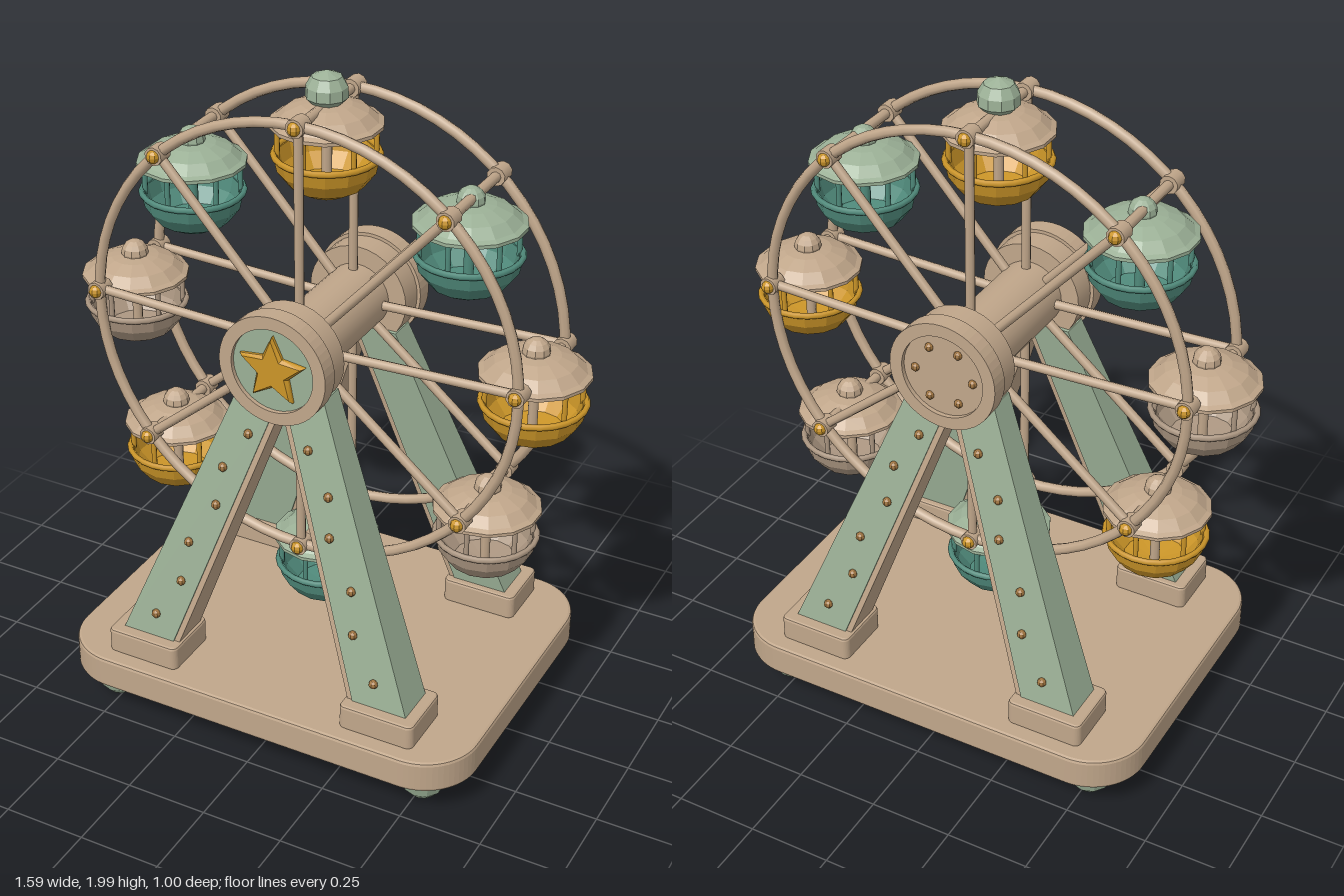
import * as THREE from 'three';

const mat = (name, color) => new THREE.MeshStandardMaterial({ name, color });

export function createModel() {
  const tan = mat('tan', 0xc0a68a), green = mat('sage green', 0x9bb096), teal = mat('teal', 0x508a7b);
  const gold = mat('gold', 0xcb9528), taupe = mat('taupe', 0xab9681), bronze = mat('bronze', 0x9f7440);
  const model = new THREE.Group();
  model.name = 'ferrisWheel';

  const add = (parent, name, geo, material, x = 0, y = 0, z = 0) => {
    const mesh = new THREE.Mesh(geo, material);
    mesh.name = name;
    mesh.position.set(x, y, z);
    parent.add(mesh);
    return mesh;
  };
  // faceted copy of a geometry
  const facet = (geo) => {
    const g = geo.index ? geo.toNonIndexed() : geo;
    g.computeVertexNormals();
    return g;
  };
  const lathe = (pts, segments) => facet(new THREE.LatheGeometry(pts.map(p => new THREE.Vector2(...p)), segments));
  const ball = (r, w = 8, h = 6) => facet(new THREE.SphereGeometry(r, w, h));
  const drumGeo = (r, len, seg = 32) => new THREE.CylinderGeometry(r, r, len, seg).rotateX(Math.PI / 2);
  const rod = (parent, name, a, b, r, material) => {
    const va = new THREE.Vector3(...a), vb = new THREE.Vector3(...b), d = vb.clone().sub(va);
    const m = add(parent, name, new THREE.CylinderGeometry(r, r, d.length(), 8), material);
    m.position.copy(va).add(vb).multiplyScalar(0.5);
    m.quaternion.setFromUnitVectors(new THREE.Vector3(0, 1, 0), d.normalize());
  };
  const roundRect = (w, h, r) => {
    const s = new THREE.Shape();
    s.absarc(w - r, h - r, r, 0, Math.PI / 2);
    s.absarc(-w + r, h - r, r, Math.PI / 2, Math.PI);
    s.absarc(-w + r, -h + r, r, Math.PI, Math.PI * 1.5);
    s.absarc(w - r, -h + r, r, Math.PI * 1.5, Math.PI * 2);
    return s;
  };
  const slab = (w, d, r, h, bevel) => new THREE.ExtrudeGeometry(roundRect(w - bevel, d - bevel, r), {
    depth: h - 2 * bevel, bevelEnabled: true, bevelSize: bevel, bevelThickness: bevel, bevelSegments: 2, curveSegments: 8,
  }).translate(0, 0, bevel).rotateX(-Math.PI / 2);

  // Base plate
  add(model, 'basePlate', slab(0.66, 0.5, 0.16, 0.1, 0.01), tan, 0, 0.11, 0);

  // Legs: a box tapered and leaned from its pad up to the hub
  const lerp = THREE.MathUtils.lerp;
  const FOOT = 0.28, TOP = 1.15;
  const legGeo = (sx, sz, trim) => {
    const g = new THREE.BoxGeometry(1, 1, 1), p = g.attributes.position;
    for (let i = 0; i < p.count; i++) {
      const t = p.getY(i) + 0.5;
      const w = lerp(0.17, 0.13, t), cx = lerp(0.385, 0.065, t);
      const depth = lerp(0.13, 0.085, t) * (trim ? 0.92 : 1);
      const x = trim ? cx - w / 2 - 0.008 + p.getX(i) * sx * 0.02 : cx + p.getX(i) * sx * w;
      p.setXYZ(i, sx * x, lerp(FOOT, TOP, t), sz * lerp(0.345, 0.22, t) + p.getZ(i) * depth);
    }
    g.computeVertexNormals();
    return g;
  };
  const boltHeights = [0.36, 0.49, 0.62, 0.76, 0.88, 1.0];
  for (const sx of [1, -1]) for (const sz of [1, -1]) {
    add(model, 'foot', lathe([[0, 0.01], [0.035, 0.018], [0.06, 0.045], [0.07, 0.08], [0.07, 0.12], [0, 0.12]], 10),
      green, sx * 0.515, 0, sz * 0.38);
    add(model, 'legPad', slab(0.117, 0.095, 0.012, 0.08, 0.008), tan, sx * 0.388, 0.205, sz * 0.352);
    add(model, 'leg', legGeo(sx, sz, false), green);
    add(model, 'legTrim', legGeo(sx, sz, true), tan);
    boltHeights.forEach((y, i) => {
      const t = (y - FOOT) / (TOP - FOOT);
      const x = lerp(0.385, 0.065, t) + (i % 2 ? -0.025 : 0.005);
      const z = lerp(0.345, 0.22, t) + lerp(0.13, 0.085, t) / 2;
      add(model, 'legBolt', ball(0.014), bronze, sx * x, y, sz * (z + 0.003));
    });
  }

  // Hub with end drums
  const CY = 1.24;
  const hub = new THREE.Group();
  hub.name = 'hub';
  hub.position.y = CY;
  model.add(hub);
  add(hub, 'axle', drumGeo(0.1, 0.42), tan);
  const ringShape = new THREE.Shape().absarc(0, 0, 0.165, 0, Math.PI * 2);
  ringShape.holes.push(new THREE.Path().absarc(0, 0, 0.127, 0, Math.PI * 2, true));
  const ringGeo = new THREE.ExtrudeGeometry(ringShape, { depth: 0.055, bevelEnabled: false, curveSegments: 24 })
    .translate(0, 0, -0.0275);
  for (const s of [1, -1]) {
    add(hub, 'hubDrum', drumGeo(0.155, 0.09), tan, 0, 0, s * 0.235);
    add(hub, 'hubRing', ringGeo, tan, 0, 0, s * 0.293);
    add(hub, 'hubFace', drumGeo(0.127, 0.035), s > 0 ? green : tan, 0, 0, s * 0.29);
  }
  const starPts = Array.from({ length: 10 }, (_, i) => {
    const a = Math.PI / 2 + i * Math.PI / 5, r = i % 2 ? 0.042 : 0.095;
    return new THREE.Vector2(Math.cos(a) * r, Math.sin(a) * r);
  });
  add(hub, 'star', new THREE.ExtrudeGeometry(new THREE.Shape(starPts), {
    depth: 0.008, bevelThickness: 0.01, bevelSize: 0.008, bevelSegments: 1,
  }), gold, 0, 0, 0.308);
  for (let i = 0; i < 6; i++) {
    const a = i * Math.PI / 3;
    add(hub, 'hubBolt', ball(0.013), bronze, Math.cos(a) * 0.09, Math.sin(a) * 0.09, -0.309);
  }

  // Wheel: two rims, spokes, crossbars and joints
  const wheel = new THREE.Group();
  wheel.name = 'wheel';
  wheel.position.y = CY;
  model.add(wheel);
  const R = 0.658, Z = 0.16;
  for (const s of [1, -1]) add(wheel, 'rim', new THREE.TorusGeometry(R, 0.016, 8, 64), tan, 0, 0, s * Z);
  for (const deg of [90, 48, 2, -40, -90, 132, 178, 220]) {
    const a = deg * Math.PI / 180, c = Math.cos(a), n = Math.sin(a);
    rod(wheel, 'crossbar', [c * R, n * R, -0.19], [c * R, n * R, 0.19], 0.015, tan);
    for (const s of [1, -1]) {
      rod(wheel, 'spoke', [c * 0.09, n * 0.09, s * Z], [c * R, n * R, s * Z], 0.014, tan);
      add(wheel, 'joint', drumGeo(0.027, 0.05, 10), tan, c * R, n * R, s * Z);
      add(wheel, 'jointCap', ball(0.02), gold, c * R, n * R, s * 0.183);
    }
  }
  // Finial on the top crossbar
  add(model, 'finial', lathe([[0, 1.9], [0.035, 1.9], [0.06, 1.925], [0.058, 1.955], [0.042, 1.983], [0, 2]], 10), green);

  // Gondolas: x, bottom height, roof and bowl colours
  const gondola = (x, y, roof, bowl) => {
    const g = new THREE.Group();
    g.name = 'gondola';
    g.position.set(x, y, 0);
    model.add(g);
    add(g, 'bowl', lathe([[0, 0], [0.055, 0.005], [0.105, 0.032], [0.138, 0.075], [0.148, 0.12],
      [0.136, 0.12], [0.125, 0.075], [0.09, 0.035], [0, 0.022]], 14), bowl);
    add(g, 'bowlRim', new THREE.TorusGeometry(0.146, 0.009, 6, 24).rotateX(Math.PI / 2), bowl, 0, 0.12, 0);
    for (let i = 0; i < 6; i++) {
      const a = (i + 0.5) * Math.PI / 3, c = Math.cos(a) * 0.135, n = Math.sin(a) * 0.135;
      rod(g, 'post', [c, 0.11, n], [c, 0.215, n], 0.008, bowl);
    }
    rod(g, 'centrePost', [0, 0.02, 0], [0, 0.26, 0], 0.015, bowl === teal ? teal : tan);
    add(g, 'roof', lathe([[0, 0.205], [0.158, 0.205], [0.158, 0.215], [0.143, 0.222], [0.115, 0.247],
      [0.07, 0.265], [0, 0.275]], 14), roof);
    add(g, 'roofKnob', ball(0.04, 10, 8), roof, 0, 0.275, 0);
  };
  gondola(0, 1.64, tan, gold);
  gondola(0.43, 1.44, green, teal);
  gondola(-0.43, 1.44, green, teal);
  gondola(0.638, 1.04, tan, gold);
  gondola(-0.638, 1.04, tan, taupe);
  gondola(0.515, 0.57, tan, taupe);
  gondola(-0.515, 0.57, tan, gold);
  gondola(0, 0.315, green, teal);

  return model;
}
